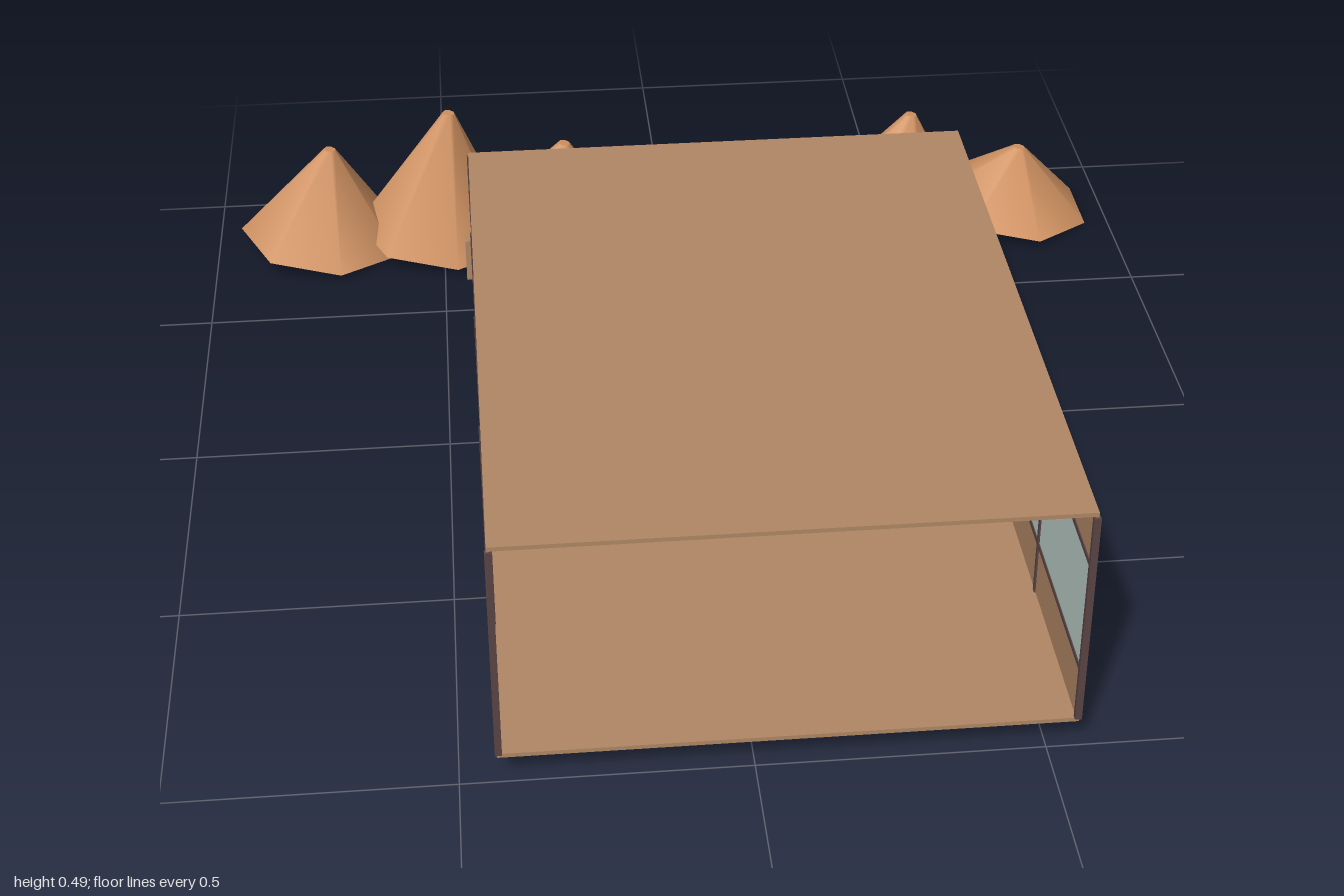
import * as THREE from 'three';

const mat = (name, color, side = THREE.FrontSide) => {
  const m = new THREE.MeshStandardMaterial({ color, side });
  m.name = name;
  return m;
};

export function createModel() {
  const root = new THREE.Group();
  root.name = 'officeBuilding';
  const wall = mat('wall brown', 0xb08764);
  const glass = mat('pale glass', 0xb9cbc6);
  const frame = mat('dark frame', 0x5a4444);
  const earth = mat('mound orange', 0xd09262);

  // Box given by its min and max corners
  const box = (name, m, x0, x1, y0, y1, z0, z1, parent = root) => {
    const mesh = new THREE.Mesh(new THREE.BoxGeometry(x1 - x0, y1 - y0, z1 - z0), m);
    mesh.position.set((x0 + x1) / 2, (y0 + y1) / 2, (z0 + z1) / 2);
    mesh.name = name;
    parent.add(mesh);
    return mesh;
  };

  const L = -0.435, R = 0.555, B = -0.31, F = 0.995, T = 0.006;

  // Floor and roof, open at the front
  box('floor', wall, L, R, 0.05, 0.058, B, F);
  box('roof', wall, L, R, 0.482, 0.49, B, F);

  // Long side walls with ribbon windows
  for (const [x, s] of [[L, 1], [R, -1]]) {
    const side = new THREE.Group();
    side.name = s > 0 ? 'rightSideWall' : 'leftSideWall';
    root.add(side);
    const a = Math.min(x, x + s * T), b = Math.max(x, x + s * T);
    box('lowerWall', wall, a, b, 0.058, 0.16, B, F, side);
    box('ribbonWindow', glass, a, b, 0.16, 0.385, B, F, side);
    box('upperWall', wall, a, b, 0.385, 0.482, B, F, side);
    for (const y of [0.163, 0.383])
      box('windowRail', frame, a - 0.002, b + 0.002, y - 0.005, y + 0.005, B, F, side);
    for (const z of [0.995, 0.645, 0.295, -0.005, -0.31])
      box('mullion', frame, a - 0.003, b + 0.003, z === 0.295 ? 0.044 : 0.058, 0.481, z - 0.005, z + 0.005, side);
  }
  // Beam under the floor, joining the middle posts
  box('floorBeam', frame, L, R, 0.044, 0.0575, 0.29, 0.3);

  // Back wall around its window opening
  const wx0 = -0.305, wx1 = 0.43, wy0 = 0.255, wy1 = 0.447;
  box('backWallLower', wall, L, R, 0.058, wy0, B, B + T);
  box('backWallUpper', wall, L, R, wy1, 0.482, B, B + T);
  box('backWallRight', wall, L, wx0, wy0, wy1, B, B + T);
  box('backWallLeft', wall, wx1, R, wy0, wy1, B, B + T);
  box('backWindow', glass, wx0, wx1, wy0, wy1, B + 0.001, B + T - 0.001);
  for (const y of [wy0, wy1]) box('backWindowRail', frame, wx0, wx1, y - 0.004, y + 0.004, B + 0.001, B + 0.009);
  for (const x of [wx0, wx1]) box('backWindowPost', frame, x - 0.004, x + 0.004, wy0, wy1, B + 0.001, B + 0.009);

  // Annex behind the building
  box('annex', wall, 0.14, 0.44, 0.055, 0.297, -0.643, B);

  // Storage boxes with lids and dark handles
  for (const [x, y] of [[-0.38, 0.215], [-0.235, 0.24], [0.07, 0.215], [0.217, 0.24], [0.37, 0.268]]) {
    const g = new THREE.Group();
    g.name = 'storageBox';
    root.add(g);
    box('boxBody', wall, x - 0.07, x + 0.07, y, y + 0.09, -0.3, -0.275, g);
    box('boxLid', wall, x - 0.058, x - 0.004, y + 0.09, y + 0.112, -0.297, -0.28, g);
    box('boxHandle', frame, x - 0.027, x + 0.027, y + 0.037, y + 0.052, -0.275, -0.271, g);
  }

  // Chest of drawers
  box('drawerChest', wall, -0.28, -0.07, 0.058, 0.28, 0.02, 0.14);
  for (let i = 0; i < 4; i++)
    box('drawerGap', frame, -0.28, -0.07, 0.102 + i * 0.055, 0.106 + i * 0.055, 0.138, 0.142);

  // Low bench whose feet reach just through the floor
  box('benchSeat', frame, -0.04, 0.15, 0.062, 0.105, 0.08, 0.16);
  for (const x of [-0.045, 0.155]) box('benchEnd', wall, x - 0.008, x + 0.008, 0.058, 0.105, 0.08, 0.165);
  box('benchFoot', frame, -0.04, 0.02, 0.048, 0.062, 0.125, 0.137);

  // Small cupboard and its door
  box('cupboard', wall, 0.23, 0.355, 0.058, 0.24, -0.2, -0.05);
  box('cupboardDoor', wall, 0.24, 0.345, 0.115, 0.232, -0.05, -0.044);
  box('cupboardTrim', frame, 0.228, 0.357, 0.238, 0.244, -0.2, -0.048);
  box('wallHandle', frame, 0.432, 0.488, 0.147, 0.165, B + T, B + 0.014);

  // Desk lamp with round head, arm and dark case
  const head = new THREE.Mesh(new THREE.CylinderGeometry(0.04, 0.04, 0.02, 12), wall);
  head.rotation.x = Math.PI / 2;
  head.position.set(-0.26, 0.37, -0.2);
  head.name = 'lampHead';
  root.add(head);
  box('lampArm', wall, -0.225, -0.085, 0.352, 0.378, -0.21, -0.19);
  box('darkCase', frame, -0.12, 0.03, 0.315, 0.355, -0.21, -0.12);

  // Row of leaning seven-sided mounds: centre x, height
  for (const [x, h] of [[-0.767, 0.215], [-0.512, 0.293], [-0.25, 0.205], [0.01, 0.17], [0.522, 0.238], [0.785, 0.142]]) {
    const geo = new THREE.CylinderGeometry(0.013, 0.183, h, 7, 1, false, -Math.PI / 2);
    geo.translate(0, h / 2, 0);
    const mound = new THREE.Mesh(geo, earth);
    mound.position.set(x, 0.022, -0.822);
    mound.rotation.z = -0.125;
    mound.name = 'mound';
    root.add(mound);
  }
  return root;
}
